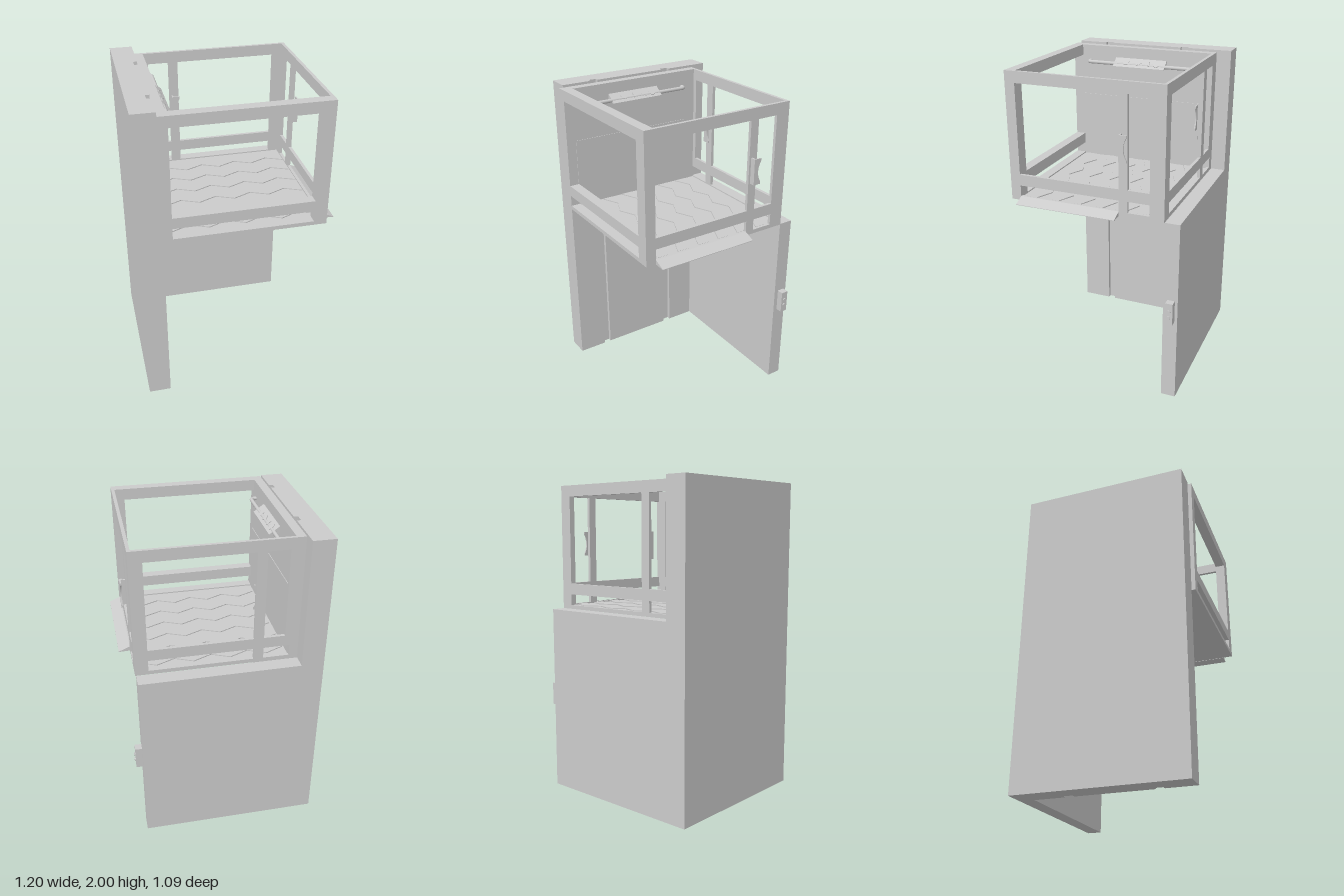
import * as THREE from 'three';

const mat = new THREE.MeshStandardMaterial({ color: 0xcccccc, side: THREE.DoubleSide });

function add(parent, name, geo) {
  const mesh = new THREE.Mesh(geo, mat);
  mesh.name = name;
  parent.add(mesh);
  return mesh;
}

// box given by its limits on each axis
function box(parent, name, x0, x1, y0, y1, z0, z1) {
  const m = add(parent, name, new THREE.BoxGeometry(x1 - x0, y1 - y0, z1 - z0));
  m.position.set((x0 + x1) / 2, (y0 + y1) / 2, (z0 + z1) / 2);
  return m;
}

const poly = (pts) => new THREE.Shape(pts.map(([x, y]) => new THREE.Vector2(x, y)));
const rect = (x0, x1, y0, y1) => poly([[x0, y0], [x1, y0], [x1, y1], [x0, y1]]);
const extrude = (shape, depth) =>
  new THREE.ExtrudeGeometry(shape, { depth, bevelEnabled: false, curveSegments: 16 });

// flat frame with rectangular openings
function frame(x0, x1, y0, y1, openings, depth) {
  const s = rect(x0, x1, y0, y1);
  openings.forEach((o) => s.holes.push(rect(...o)));
  return extrude(s, depth);
}

// L-shaped door pull: a standing flange and a grip with a hollowed free edge
function doorPull() {
  const g = new THREE.Group();
  box(g, 'pullFlange', 0, 0.01, -0.08, 0.08, 0, 0.035);
  const s = new THREE.Shape();
  s.moveTo(0, -0.08);
  s.lineTo(0.048, -0.08);
  s.lineTo(0.048, -0.065);
  s.quadraticCurveTo(0.01, 0, 0.048, 0.065);
  s.lineTo(0.048, 0.08);
  s.lineTo(0, 0.08);
  add(g, 'pullGrip', extrude(s, 0.008)).position.z = 0.027;
  return g;
}

function createModel() {
  const model = new THREE.Group();
  model.name = 'platformLift';

  // mast wall with two vertical guide grooves
  const d = -0.435 - 0.05;
  const mast = poly([
    [-0.6, 0.545], [-0.6, -0.515], [-0.46, -0.515],
    [-0.46, -0.325], [d, -0.325], [d, -0.275], [-0.46, -0.275],
    [-0.46, 0.205], [d, 0.205], [d, 0.26], [-0.46, 0.26], [-0.46, 0.545],
  ]);
  add(model, 'mastWall', extrude(mast, 2).rotateX(-Math.PI / 2));

  // lower back wall with call box on its end
  box(model, 'backWall', -0.46, 0.525, 0, 1.19, -0.545, -0.453);
  const call = new THREE.Group();
  call.name = 'callBox';
  model.add(call);
  box(call, 'callBoxBody', 0.525, 0.567, 0.545, 0.69, -0.527, -0.48);
  [0.595, 0.635].forEach((y) => {
    const b = add(call, 'callButton', new THREE.CylinderGeometry(0.011, 0.011, 0.012, 16));
    b.rotation.z = Math.PI / 2;
    b.position.set(0.568, y, -0.503);
  });

  // cabin
  const cabin = new THREE.Group();
  cabin.name = 'cabin';
  model.add(cabin);
  const Y0 = 1.19, Y1 = 1.985, low = [1.215, 1.285], high = [1.355, 1.915];
  box(cabin, 'cabinSideWall', -0.46, -0.405, Y0, Y1, -0.45, 0.54);
  box(cabin, 'sideWallPanel', -0.406, -0.401, 1.355, 1.65, -0.36, 0.478);

  add(cabin, 'frontFrame',
    frame(-0.46, 0.53, Y0, Y1, [[-0.405, 0.45, ...low], [-0.405, 0.45, ...high]], 0.064))
    .position.z = 0.476;
  add(cabin, 'backFrame',
    frame(-0.46, 0.53, Y0, Y1, [
      [-0.405, -0.245, ...low], [-0.185, 0.45, ...low],
      [-0.375, -0.245, ...high], [-0.185, 0.45, ...high],
    ], 0.02)).position.z = -0.45;
  add(cabin, 'rightFrame',
    frame(-0.54, 0.45, Y0, Y1, [
      [-0.48, 0.17, ...low], [0.225, 0.36, ...low],
      [-0.48, 0.17, ...high], [0.225, 0.36, ...high],
    ], 0.02).rotateY(Math.PI / 2)).position.x = 0.51;

  // floor with raised zigzag treads
  box(cabin, 'floor', -0.41, 0.515, 1.19, 1.207, -0.44, 0.48);
  const teeth = 8, pitch = 0.9 / teeth;
  for (let row = 0; row < 6; row++) {
    const zig = (off) => Array.from({ length: teeth + 1 },
      (_, i) => [-0.395 + i * pitch, off + (i % 2 ? 0.05 : 0)]);
    const base = -0.455 + row * 0.145;
    const tread = poly([...zig(base), ...zig(base + 0.075).reverse()]);
    add(cabin, 'floorTread', extrude(tread, 0.006).rotateX(-Math.PI / 2)).position.y = 1.207;
  }

  // sloping entry lip
  const lip = poly([[0.53, 1.188], [0.6, 1.185], [0.6, 1.188], [0.53, 1.217]]);
  add(cabin, 'entryLip', extrude(lip, 0.645)).position.z = -0.17;

  // door pulls on the back and right frames
  const backPull = doorPull();
  backPull.name = 'backDoorPull';
  backPull.position.set(-0.232, 1.61, -0.433);
  const rightPull = doorPull();
  rightPull.name = 'rightDoorPull';
  rightPull.rotation.y = Math.PI / 2;
  rightPull.position.set(0.529, 1.61, -0.182);
  cabin.add(backPull, rightPull);

  // handrail bent into the side wall at both ends
  const X = -0.37, W = -0.41, Y = 1.88, r = 0.025;
  const v = (x, z) => new THREE.Vector3(x, Y, z);
  const path = new THREE.CurvePath();
  path.add(new THREE.LineCurve3(v(W, -0.33), v(X - r, -0.33)));
  path.add(new THREE.QuadraticBezierCurve3(v(X - r, -0.33), v(X, -0.33), v(X, -0.33 + r)));
  path.add(new THREE.LineCurve3(v(X, -0.33 + r), v(X, 0.42 - r)));
  path.add(new THREE.QuadraticBezierCurve3(v(X, 0.42 - r), v(X, 0.42), v(X - r, 0.42)));
  path.add(new THREE.LineCurve3(v(X - r, 0.42), v(W, 0.42)));
  add(cabin, 'handrail', new THREE.TubeGeometry(path, 120, 0.012, 12));

  // sloping control panel with four raised buttons
  const panel = poly([[-0.405, 1.867], [-0.34, 1.865], [-0.34, 1.868], [-0.405, 1.915]]);
  add(cabin, 'controlPanel', extrude(panel, 0.36)).position.z = -0.13;
  const buttons = new THREE.Group();
  buttons.name = 'controlButtons';
  buttons.position.set(-0.37, 1.89, 0);
  buttons.rotation.z = -Math.atan2(0.047, 0.065);
  cabin.add(buttons);
  [[32, -0.07, 0], [3, -0.008, 0], [3, 0.058, Math.PI], [4, 0.142, Math.PI / 4]].forEach(([n, z, a]) => {
    const b = add(buttons, 'controlButton', new THREE.CylinderGeometry(0.022, 0.022, 0.006, n));
    b.position.set(0, 0.001, z);
    b.rotation.y = a;
  });

  return model;
}

export { createModel };
